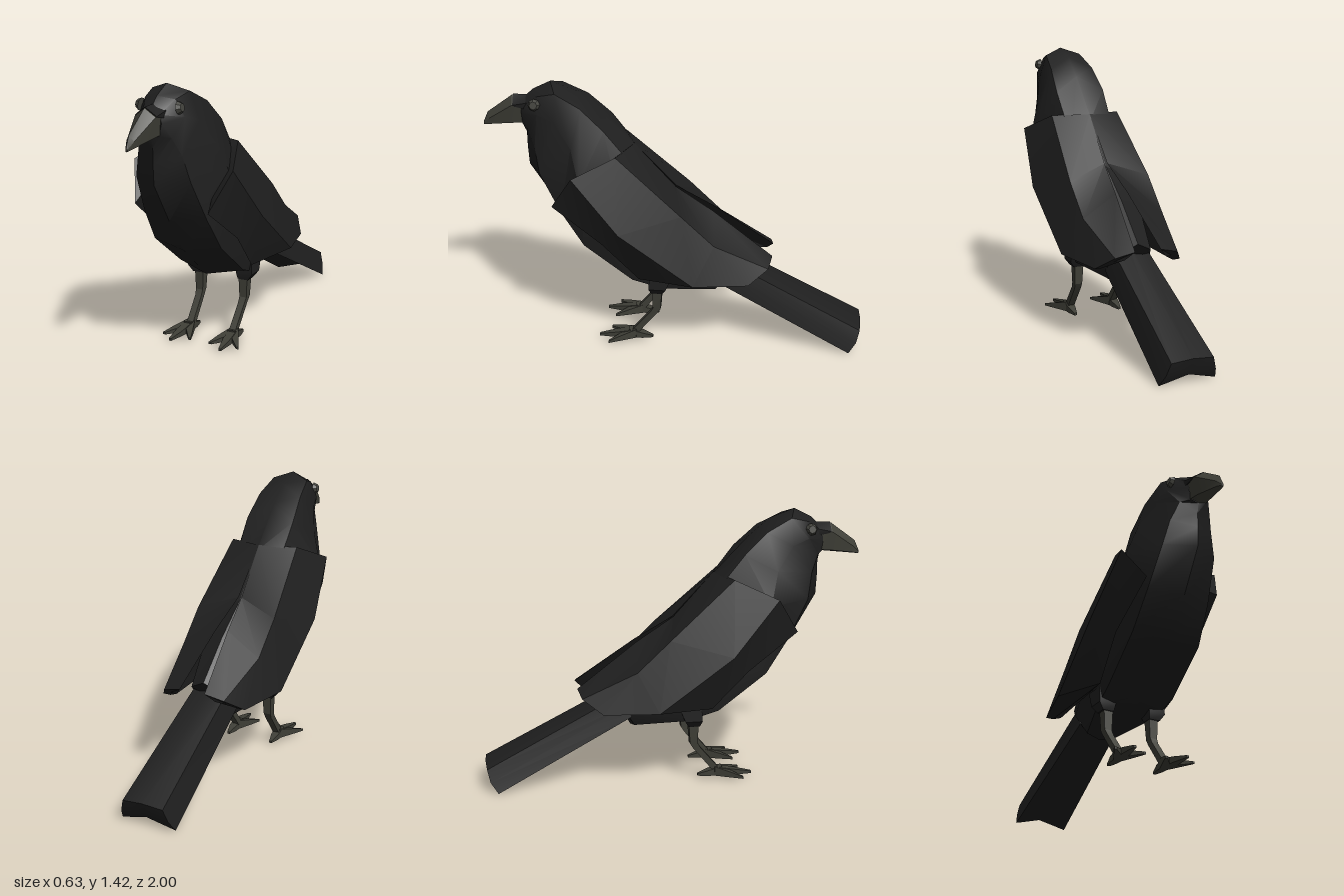
import * as THREE from 'three';
import { toCreasedNormals } from 'three/addons/utils/BufferGeometryUtils.js';

const mat = (name, color) => {
  const m = new THREE.MeshStandardMaterial({ color });
  m.name = name;
  return m;
};

// Skin a list of equal-length closed rings of [x, y, z], capping both ends.
function loft(rings, crease = 0.45) {
  const tris = [];
  const n = rings[0].length;
  for (let i = 0; i < rings.length - 1; i++) {
    for (let j = 0; j < n; j++) {
      const k = (j + 1) % n;
      const a = rings[i][j], b = rings[i][k], c = rings[i + 1][k], d = rings[i + 1][j];
      tris.push([a, b, c], [a, c, d]);
    }
  }
  const cap = (ring, flip) => {
    const mid = [0, 1, 2].map(q => ring.reduce((s, p) => s + p[q], 0) / n);
    ring.forEach((p, j) => {
      const r = ring[(j + 1) % n];
      tris.push(flip ? [mid, r, p] : [mid, p, r]);
    });
  };
  cap(rings[0], true);
  cap(rings[rings.length - 1], false);
  // Turn the faces outward if the enclosed volume is negative.
  const V = p => new THREE.Vector3(...p);
  const volume = tris.reduce((s, [a, b, c]) => s + V(a).dot(V(b).cross(V(c))), 0);
  if (volume < 0) tris.forEach(t => t.reverse());
  const geo = new THREE.BufferGeometry();
  geo.setAttribute('position', new THREE.Float32BufferAttribute(tris.flat(2), 3));
  return toCreasedNormals(geo, crease);
}

// Complete a half section whose first and last points lie on x = 0.
const mirrorRing = half => [
  ...half,
  ...half.slice(1, -1).reverse().map(([x, y, z]) => [-x, y, z]),
];

// Square tube through points [x, y, z, halfWidth, halfDepth]; axis picks the section plane.
const limb = (points, axis) => loft(points.map(([x, y, z, w, d]) =>
  [[-1, -1], [1, -1], [1, 1], [-1, 1]].map(([a, b]) =>
    axis === 'y' ? [x + a * w, y, z + b * d] : [x + a * w, y + b * d, z])));

export function createModel() {
  const bird = new THREE.Group();
  bird.name = 'bird';
  const feather = mat('blackFeather', 0x1f1f1f);
  const horn = mat('greyHorn', 0x3f3f37);
  const eyeGrey = mat('eyeGrey', 0x45453f);
  const add = (name, geo, material) => {
    const mesh = new THREE.Mesh(geo, material);
    mesh.name = name;
    bird.add(mesh);
    return mesh;
  };

  // Head and body: back, shoulder, flank, lower flank, belly
  add('body', loft([
    [[0, 1.32, .79], [.045, 1.3, .785], [.055, 1.26, .785], [.04, 1.2, .785], [0, 1.19, .785]],
    [[0, 1.375, .73], [.08, 1.36, .7], [.122, 1.28, .69], [.085, 1.19, .75], [0, 1.14, .775]],
    [[0, 1.42, .64], [.1, 1.385, .6], [.145, 1.25, .6], [.118, 1.1, .71], [0, 1.06, .775]],
    [[0, 1.375, .51], [.12, 1.32, .47], [.19, 1.13, .51], [.148, .97, .685], [0, .96, .77]],
    [[0, 1.285, .4], [.135, 1.21, .35], [.246, .96, .465], [.172, .77, .58], [0, .75, .635]],
    [[0, 1.075, .195], [.125, .97, .16], [.225, .78, .24], [.188, .59, .46], [0, .565, .5]],
    [[0, .855, 0], [.13, .78, -.02], [.21, .58, .06], [.185, .4, .21], [0, .37, .27]],
    [[0, .71, -.2], [.11, .64, -.2], [.18, .48, -.08], [.165, .345, .05], [0, .33, .08]],
    [[0, .53, -.4], [.08, .49, -.38], [.12, .42, -.28], [.08, .31, -.22], [0, .29, -.23]],
  ].map(mirrorRing), 0.62), feather);

  // Tail: a shallow arched bar widening to its end
  add('tail', loft([
    [[0, .51, -.27], [.09, .495, -.27], [.1, .43, -.26], [.11, .365, -.24], [0, .4, -.24]],
    [[0, .135, -1], [.11, .125, -.995], [.13, .06, -.98], [.148, .003, -.942], [0, .045, -.96]],
  ].map(mirrorRing)), feather);

  // Beak with the bristle patch over its root
  add('beak', loft([
    [[0, 1.335, .77], [.054, 1.3, .77], [.045, 1.205, .77], [0, 1.195, .77]],
    [[0, 1.337, .842], [.054, 1.298, .835], [.038, 1.198, .84], [0, 1.187, .84]],
    [[0, 1.24, .975], [.02, 1.21, .965], [.016, 1.177, .97], [0, 1.172, .97]],
    [[0, 1.185, 1], [.006, 1.18, .997], [.006, 1.17, .997], [0, 1.168, 1]],
  ].map(mirrorRing)), horn);
  add('beakBristles', loft([
    [[0, 1.345, .74], [.062, 1.32, .74], [.062, 1.28, .74], [0, 1.28, .74]],
    [[0, 1.342, .836], [.057, 1.301, .829], [.055, 1.293, .82], [0, 1.293, .82]],
  ].map(mirrorRing)), feather);

  for (const [s, side] of [[1, 'left'], [-1, 'right']]) {
    const flip = pts => pts.map(([x, ...rest]) => [s * x, ...rest]);

    // Folded wing: back edge, upper crease, lower crease, lower edge, inside
    add(side + 'Wing', loft([
      [[0, 1.1, .215], [.19, 1.095, .285], [.272, 1, .5], [.2, .81, .62], [.15, .98, .4]],
      [[.008, .87, 0], [.222, .8, -.05], [.313, .72, .26], [.225, .62, .36], [.16, .7, .08]],
      [[.033, .75, -.2], [.22, .64, -.22], [.3, .44, -.12], [.21, .42, .17], [.16, .59, -.15]],
      [[.07, .525, -.515], [.17, .5, -.5], [.235, .43, -.4], [.2, .425, -.39], [.11, .48, -.48]],
    ].map(flip)), feather);

    // Eye: a low faceted button
    const eye = add(side + 'Eye',
      toCreasedNormals(new THREE.CylinderGeometry(.02, .032, .02, 8), 0.4), eyeGrey);
    eye.position.set(s * .11, 1.325, .706);
    eye.rotation.set(.1, 0, -s * 1.4);

    // Thigh tuft and bent leg
    add(side + 'Thigh', limb(flip([
      [.135, .43, .06, .05, .06], [.143, .345, .08, .045, .045], [.133, .31, .085, .03, .03],
    ]), 'y'), feather);
    add(side + 'Leg', limb(flip([
      [.13, .34, .083, .026, .026], [.13, .21, .087, .02, .021],
      [.128, .18, .105, .018, .02], [.125, .045, .215, .018, .022],
    ]), 'y'), horn);

    // Three front toes and one hind toe
    [[.215, .34], [.145, .4], [.06, .345], [.13, .11]].forEach(([x, z], i) => {
      const mx = (x + .13) / 2, mz = (z + .22) / 2;
      add(side + 'Toe' + (i + 1), limb(flip([
        [.13, .045, i === 3 ? .24 : .2, .022, .025],
        [mx, .035, mz, .02, .015],
        [x, .026, z, .007, .006],
      ]), 'z'), horn);
    });
  }
  return bird;
}
